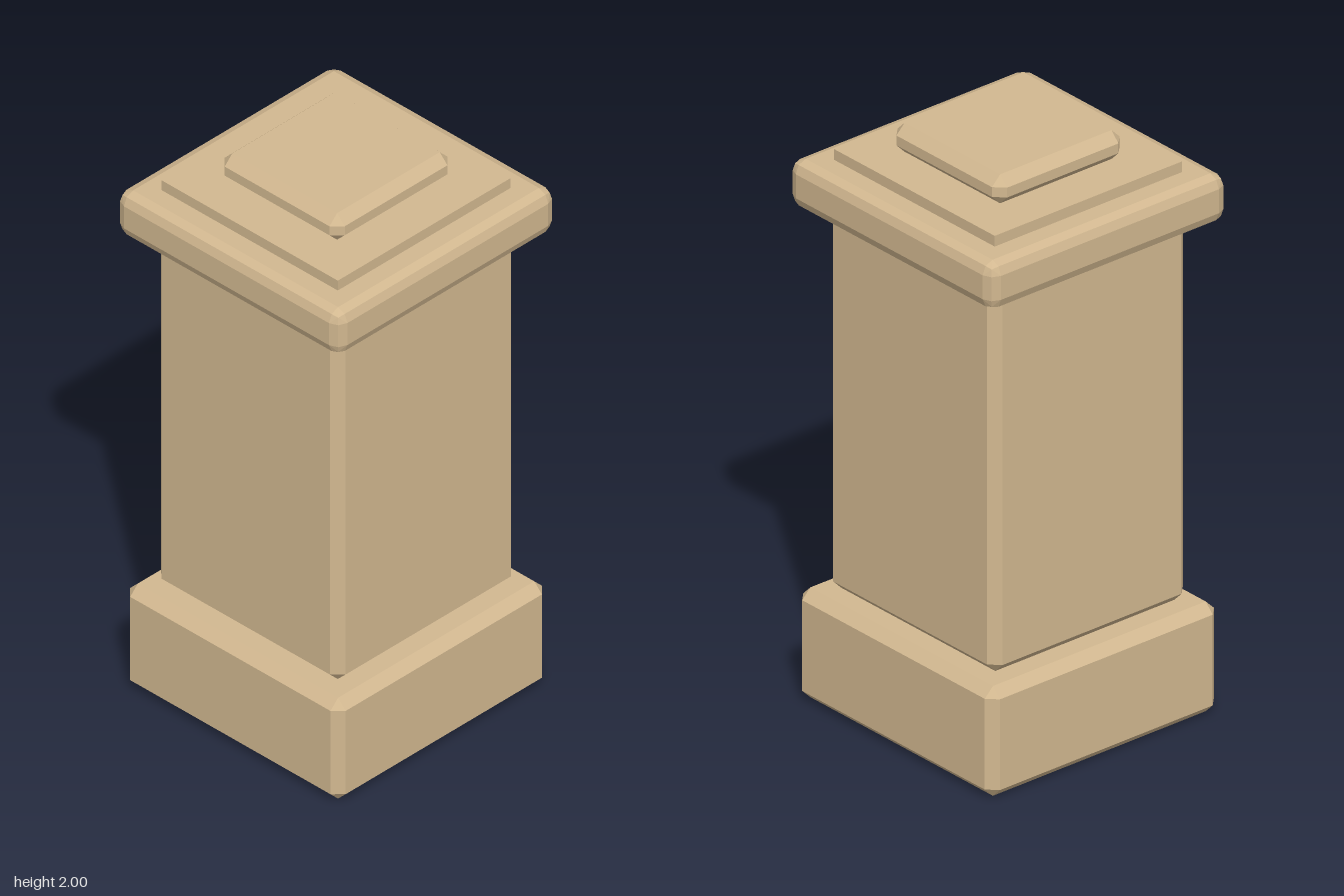
import * as THREE from 'three';
import { ConvexGeometry } from 'three/addons/geometries/ConvexGeometry.js';

// Square block with bevelled edges, from y0 to y1; steps = 1 chamfer, 2 rounder
function bevelledBlock(half, y0, y1, bevel, steps) {
  const dirs = [[1, 0, 0], [0, 1, 0], [0, 0, 1]];
  if (steps === 2) dirs.push([1, 1, 0], [1, 0, 1], [0, 1, 1], [1, 1, 1]);
  const points = [];
  const core = half - bevel, coreY = (y1 - y0) / 2 - bevel, midY = (y0 + y1) / 2;
  for (const sx of [-1, 1]) for (const sy of [-1, 1]) for (const sz of [-1, 1]) {
    for (const [x, y, z] of dirs) {
      const k = bevel / Math.hypot(x, y, z);
      points.push(new THREE.Vector3(sx * (core + x * k), midY + sy * (coreY + y * k), sz * (core + z * k)));
    }
  }
  return new ConvexGeometry(points);
}

export function createModel() {
  const group = new THREE.Group();
  group.name = 'pedestal';
  const stone = new THREE.MeshStandardMaterial({ color: 0xd2b890 });
  stone.name = 'sandstone';

  const add = (name, geometry) => {
    const mesh = new THREE.Mesh(geometry, stone);
    mesh.name = name;
    group.add(mesh);
    return mesh;
  };

  add('base', bevelledBlock(0.463, 0, 0.38, 0.033, 1));
  add('shaft', bevelledBlock(0.396, 0.382, 1.76, 0.034, 1));
  add('cap', bevelledBlock(0.48, 1.7, 1.863, 0.04, 2));

  // Thin square step on the cap
  add('step', new THREE.BoxGeometry(0.756, 0.07, 0.756)).position.y = 1.865;

  add('topBlock', bevelledBlock(0.258, 1.9, 2, 0.033, 1));
  return group;
}
